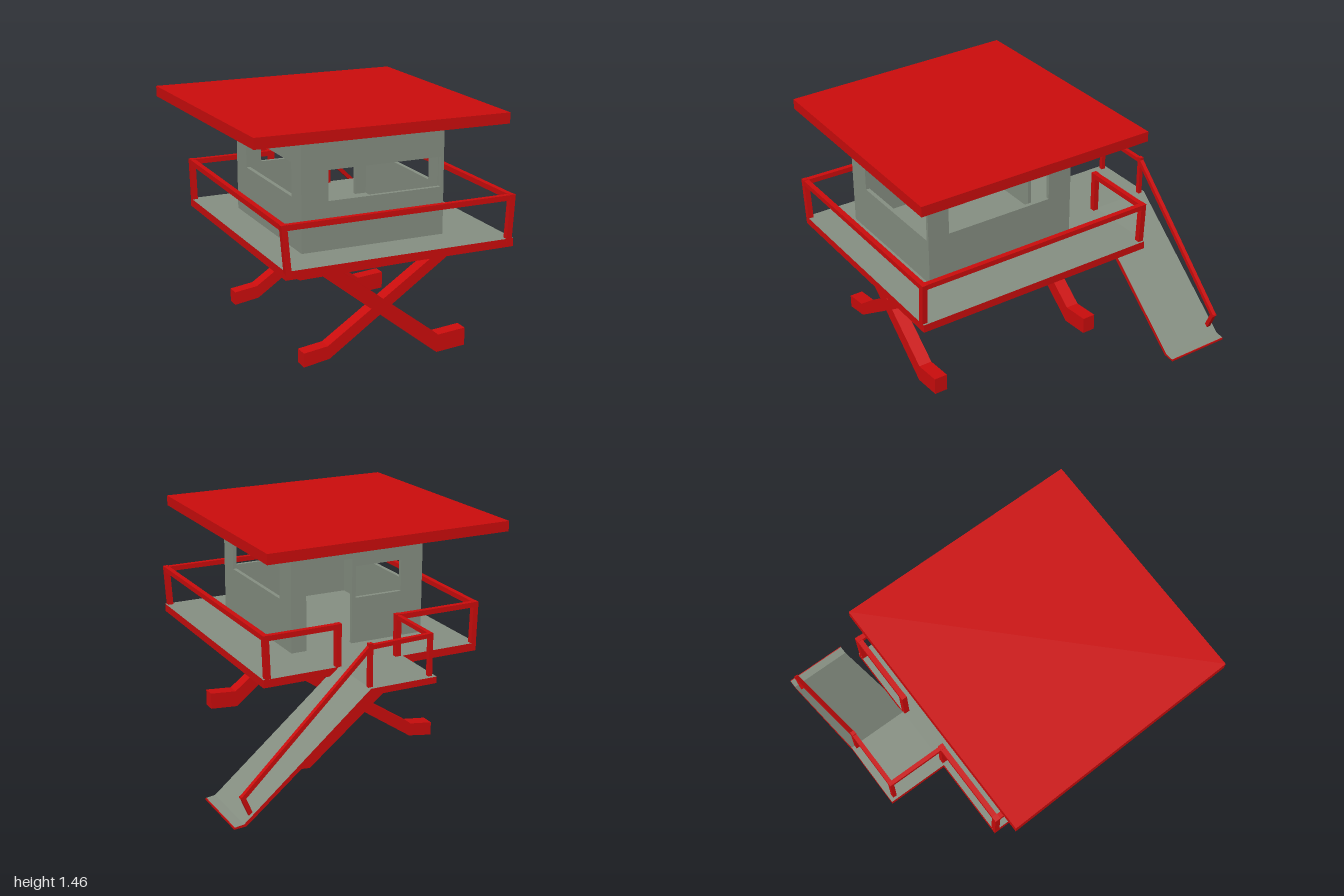
import * as THREE from 'three';

export function createModel() {
  const red = new THREE.MeshStandardMaterial({ color: 0xcc0c0c });
  red.name = 'red paint';
  const grey = new THREE.MeshStandardMaterial({ color: 0x868f82 });
  grey.name = 'grey boards';

  const model = new THREE.Group();
  model.name = 'lifeguardHut';

  const add = (name, geometry, material, parent = model) => {
    const mesh = new THREE.Mesh(geometry, material);
    mesh.name = name;
    parent.add(mesh);
    return mesh;
  };
  const group = (name) => {
    const g = new THREE.Group();
    g.name = name;
    model.add(g);
    return g;
  };
  const outline = (points) => new THREE.Shape(points.map(([x, y]) => new THREE.Vector2(x, y)));
  const rect = (x0, x1, y0, y1) => [[x0, y0], [x1, y0], [x1, y1], [x0, y1]];

  // Flat profile with optional openings, given a thickness along z
  const plate = (name, points, depth, material, parent, holes = []) => {
    const shape = outline(points);
    holes.forEach((h) => shape.holes.push(outline(h)));
    const geometry = new THREE.ExtrudeGeometry(shape, { depth, bevelEnabled: false });
    return add(name, geometry, material, parent);
  };

  // Box between two corners
  const block = (name, [x0, y0, z0], [x1, y1, z1], material, parent) => {
    const geometry = new THREE.BoxGeometry(x1 - x0, y1 - y0, z1 - z0);
    geometry.translate((x0 + x1) / 2, (y0 + y1) / 2, (z0 + z1) / 2);
    return add(name, geometry, material, parent);
  };

  // Square bar between two points
  const bar = (name, a, b, parent, size = 0.032) => {
    const p = new THREE.Vector3(...a);
    const q = new THREE.Vector3(...b);
    const mesh = add(name, new THREE.BoxGeometry(size, size, p.distanceTo(q) + size), red, parent);
    mesh.position.copy(p).add(q).multiplyScalar(0.5);
    mesh.lookAt(q);
    return mesh;
  };

  // Deck and side landing: grey faces, red edges
  const edged = [red, red, grey, grey, red, red];
  block('deck', [-0.8, 0.67, -0.6], [0.635, 0.72, 0.985], edged);
  block('landing', [-0.28, 0.68, -0.99], [0.15, 0.72, -0.575], edged);

  // Crossed legs with feet, and a tapered beam, at front and back
  for (const [label, z] of [['front', 0.72], ['back', -0.395]]) {
    const frame = group(label + 'LegFrame');
    plate('beam', [[-0.78, 0.67], [-0.64, 0.59], [0.38, 0.605], [0.62, 0.67]], 0.085, red, frame);
    plate('fallingLeg', [[-0.51, 0.6], [0.24, 0.005], [0.43, 0.02], [0.43, 0.13], [0.25, 0.115], [-0.38, 0.6]],
      0.085, red, frame);
    plate('risingLeg', [[0.31, 0.61], [0.2, 0.61], [-0.47, 0.165], [-0.62, 0.145], [-0.62, 0.06], [-0.46, 0.085]],
      0.085, red, frame);
    frame.position.z = z;
  }

  // Cabin walls
  const cabin = group('cabin');
  const t = 0.025;
  plate('frontWall', rect(-0.6, 0.3, 0.72, 1.4), t, grey, cabin, [rect(-0.435, 0.28, 1.01, 1.19)])
    .position.z = 0.74 - t;
  plate('backWall', [[-0.6, 0.72], [-0.11, 0.72], [-0.11, 1.26], [0.2, 1.26], [0.2, 0.72],
    [0.3, 0.72], [0.3, 1.4], [-0.6, 1.4]], t, grey, cabin, [rect(-0.45, -0.135, 1.01, 1.21)])
    .position.z = -0.27;
  for (const [name, x] of [['leftWall', 0.3], ['rightWall', -0.6 + t]]) {
    const wall = plate(name, rect(-0.27 + t, 0.74 - t, 0.72, 1.4), t, grey, cabin, [rect(-0.11, 0.6, 1.02, 1.22)]);
    wall.rotation.y = -Math.PI / 2;
    wall.position.x = x;
  }

  // Roof slab, slightly out of square
  const roof = block('roof', [-1, 1.4, -0.605], [0.605, 1.465, 0.955], [red, red, red, grey, red, red]);
  const p = roof.geometry.attributes.position;
  for (let i = 0; i < p.count; i++) {
    if (p.getX(i) < 0) {
      if (p.getZ(i) > 0) p.setXYZ(i, -0.952, p.getY(i), 0.935);
      p.setY(i, p.getY(i) + 0.004);
    }
  }
  roof.geometry.computeVertexNormals();

  // Deck railing, open at the back towards the landing
  const railing = group('railing');
  const top = 0.967;
  const path = [[0.15, -0.582], [0.615, -0.582], [0.622, 0.97], [-0.805, 0.97], [-0.79, -0.582], [-0.25, -0.582]];
  path.forEach(([x, z], i) => {
    const foot = x > 0.5 ? 0.605 : x < -0.5 ? -0.782 : x;
    bar('railPost', [foot, 0.7, z], [x, top, z], railing, 0.035);
    if (i) bar('handrail', [path[i - 1][0], top, path[i - 1][1]], [x, top, z], railing);
  });

  // Landing and ramp railing
  const rampRail = group('rampRailing');
  const rz = -0.955;
  const route = [[-0.25, top, -0.582], [-0.25, top, rz], [0.14, top - 0.01, rz], [0.93, 0.2, rz], [0.885, 0.09, rz]];
  for (let i = 1; i < route.length; i++) bar('rampHandrail', route[i - 1], route[i], rampRail, 0.026);
  bar('landingPost', [-0.25, 0.7, rz], [-0.25, top, rz], rampRail, 0.026);
  bar('landingPost', [0.14, 0.7, rz], [0.14, top, rz], rampRail, 0.026);

  // Ramp with a flat lip at the bottom
  const ramp = plate('ramp', [[0.15, 0.72], [0.13, 0.69], [0.925, 0.04], [0.995, 0.036], [0.995, 0.048], [0.94, 0.055]],
    0.415, [red, grey]);
  ramp.position.z = -0.99;
  block('rampLip', [0.995, 0.036, -0.99], [1, 0.048, -0.575], red);

  return model;
}
